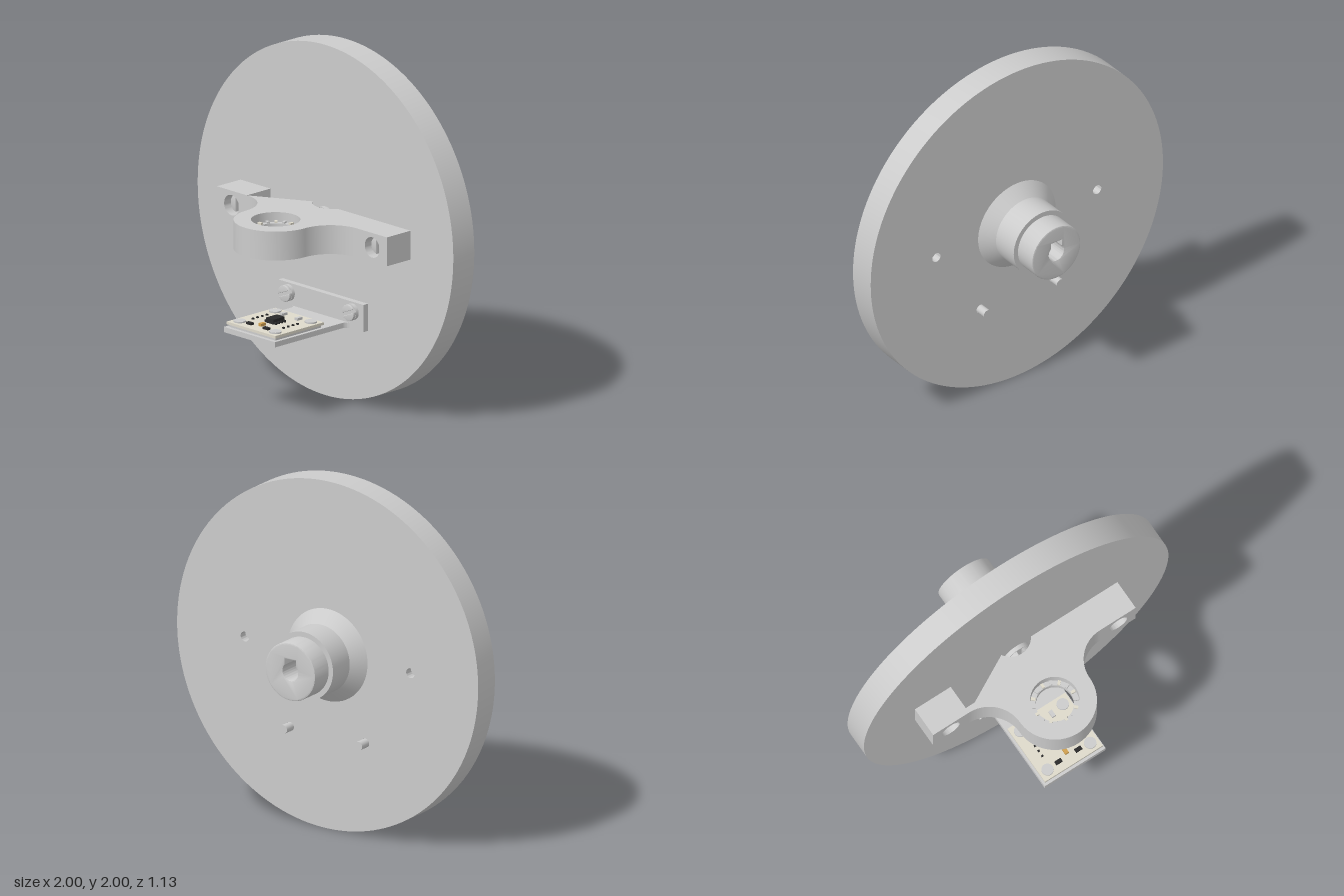
import * as THREE from 'three';
import { toCreasedNormals } from 'three/addons/utils/BufferGeometryUtils.js';

const grey = new THREE.MeshStandardMaterial({ color: 0xcccccc });
const cream = new THREE.MeshStandardMaterial({ color: 0xdedacb });
const black = new THREE.MeshStandardMaterial({ color: 0x2a2a2a });
const gold = new THREE.MeshStandardMaterial({ color: 0xd0a050 });

export function createModel() {
  const model = new THREE.Group();
  model.name = 'discAssembly';

  function add(parent, name, geo, mat = grey, x = 0, y = 0, z = 0) {
    const mesh = new THREE.Mesh(geo, mat);
    mesh.name = name;
    mesh.position.set(x, y, z);
    parent.add(mesh);
    return mesh;
  }
  const box = (w, h, d) => new THREE.BoxGeometry(w, h, d);
  const circle = (x, y, r) => new THREE.Path().absarc(x, y, r, 0, Math.PI * 2, false);
  const discShape = (r) => new THREE.Shape().absarc(0, 0, r, 0, Math.PI * 2, false);
  const rect = (x0, y0, x1, y1) => new THREE.Shape([
    new THREE.Vector2(x0, y0), new THREE.Vector2(x1, y0),
    new THREE.Vector2(x1, y1), new THREE.Vector2(x0, y1)]);
  // Extrusion along z with smooth curves and sharp edges
  function extrude(shape, depth, segments = 24, bevel = 0) {
    return toCreasedNormals(new THREE.ExtrudeGeometry(shape, {
      depth: depth - 2 * bevel, curveSegments: segments, bevelEnabled: bevel > 0,
      bevelThickness: bevel, bevelSize: bevel, bevelOffset: -bevel, bevelSegments: 2,
    }).translate(0, 0, bevel), 0.5);
  }
  // Flat extrusion: shape (x, z), between heights y0 and y1
  const slab = (shape, y0, y1, segments) =>
    extrude(shape, y1 - y0, segments).rotateX(Math.PI / 2).translate(0, y1, 0);
  const rod = (r, z0, z1) => new THREE.CylinderGeometry(r, r, z1 - z0, 24)
    .rotateX(Math.PI / 2).translate(0, 0, (z0 + z1) / 2);

  // Slotted screw along z, head facing +z
  function screw(name, x, y, front, r, thickness, tip, shaftR, angle) {
    const g = new THREE.Group();
    g.name = name;
    g.position.set(x, y, 0);
    g.rotation.z = angle;
    const slot = thickness * 0.5, a = Math.asin(0.2);
    add(g, 'headBase', rod(r, front - thickness, front - slot));
    const half = new THREE.Shape().absarc(0, 0, r, a, Math.PI - a, false);
    const geo = extrude(half, slot, 20, 0.004);
    for (const s of [0, Math.PI])
      add(g, 'headHalf', geo, grey, 0, 0, front - slot).rotation.z = s;
    add(g, 'shaft', rod(shaftR, tip, front - thickness));
    model.add(g);
  }

  // Large disc with four screw holes
  const face = discShape(1);
  for (const s of [-1, 1])
    face.holes.push(circle(s * 0.55, 0, 0.028), circle(s * 0.25, -0.46, 0.026));
  add(model, 'disc', extrude(face, 0.16, 72), grey, 0, 1, -0.205);

  // Stepped hub on the back
  const profile = [[0.265, 0.205], [0.195, 0.275], [0.195, 0.435], [0.15, 0.435]]
    .map(([r, h]) => new THREE.Vector2(r, h));
  add(model, 'hub', toCreasedNormals(
    new THREE.LatheGeometry(profile, 64).rotateX(-Math.PI / 2), 0.5), grey, 0, 1, 0);
  // Hub end with a keyed bore
  const end = discShape(0.166);
  const k = Math.acos(0.035 / 0.05);
  const bore = new THREE.Path().moveTo(0.035, 0.07);
  bore.lineTo(-0.035, 0.07);
  bore.absarc(0, 0, 0.05, Math.PI - k, Math.PI * 2 + k, false);
  bore.closePath();
  end.holes.push(bore);
  add(model, 'hubEnd', extrude(end, 0.36, 40, 0.008), grey, 0, 1, -0.565);

  // Arm: centre with rounded nose, ring hole and rear notch
  const arm = new THREE.Shape().moveTo(-0.43, -0.045);
  arm.absarc(0, -0.103, 0.113, Math.PI - 0.539, 0.539, true);
  arm.lineTo(0.43, -0.045);
  arm.lineTo(0.43, 0.135);
  arm.absarc(0.43, 0.335, 0.2, -Math.PI / 2, -Math.PI, true);
  arm.absarc(0, 0.335, 0.23, 0, Math.PI, false);
  arm.absarc(-0.43, 0.335, 0.2, 0, -Math.PI / 2, true);
  arm.closePath();
  arm.holes.push(circle(0, 0.335, 0.135));
  add(model, 'armCentre', slab(arm, 0.92, 1.085, 32));

  // Arm ends with counterbored screws
  for (const s of [-1, 1]) {
    const block = rect(-0.1175, -0.0825, 0.1175, 0.0825);
    block.holes.push(circle(0.0025 * s, 0, 0.058));
    add(model, 'armEnd', extrude(block, 0.18), grey, s * 0.5475, 1.0025, -0.045);
    add(model, 'counterboreFloor', rod(0.058, -0.04, 0.04), grey, s * 0.55, 1.0025, 0);
    screw('armScrew', s * 0.55, 1.0025, 0.095, 0.05, 0.05, -0.16, 0.027, Math.PI / 2);
    screw('bracketScrew', s * 0.25, 0.54, 0.03, 0.046, 0.04, -0.27, 0.025, 0.4);
  }
  screw('centreScrew', 0, 1, 0.005, 0.078, 0.05, -0.2, 0.05, Math.PI / 2);

  // Ring of small parts inside the arm hole
  const ring = discShape(0.136);
  ring.holes.push(circle(0, 0, 0.105));
  add(model, 'innerRing', slab(ring, 1.0, 1.03, 32), grey, 0, 0, 0.335);
  for (let i = 0; i < 16; i++) {
    const a = (i / 16) * Math.PI * 2;
    add(model, 'ringPart', box(0.016, 0.012, 0.026), i % 2 ? grey : cream,
      Math.sin(a) * 0.12, 1.035, 0.335 + Math.cos(a) * 0.12).rotation.y = a;
  }

  // Bracket: upright plate and flared tray
  const plate = rect(-0.333, -0.0775, 0.333, 0.0775);
  for (const s of [-1, 1]) plate.holes.push(circle(s * 0.25, 0.0225, 0.025));
  add(model, 'bracketPlate', extrude(plate, 0.035), grey, 0, 0.5175, -0.045);
  const tray = new THREE.Shape().moveTo(-0.235, -0.01);
  tray.lineTo(0.235, -0.01);
  tray.quadraticCurveTo(0.2, -0.01, 0.2, 0.03);
  tray.lineTo(0.2, 0.535);
  tray.lineTo(-0.2, 0.535);
  tray.lineTo(-0.2, 0.03);
  tray.quadraticCurveTo(-0.2, -0.01, -0.235, -0.01);
  add(model, 'tray', slab(tray, 0.44, 0.47, 8));

  // Circuit board, centred on its own group
  const board = new THREE.Group();
  board.name = 'circuitBoard';
  board.position.set(0, 0.47, 0.338);
  model.add(board);
  add(board, 'boardBase', box(0.36, 0.015, 0.35), grey, 0, 0.0075, 0);
  add(board, 'boardTop', box(0.38, 0.015, 0.37), cream, 0, 0.0225, 0);
  for (const sx of [-1, 1]) {
    for (const sz of [-1, 1])
      add(board, 'cornerPad', new THREE.CylinderGeometry(0.034, 0.034, 0.008, 24), grey,
        sx * 0.14, 0.034, sz * 0.135);
    for (let i = 0; i < 4; i++) {
      const z = (i - 1.5) * 0.022;
      add(board, 'chipPin', box(0.016, 0.012, 0.01), black, sx * 0.037, 0.036, z);
      add(board, 'smallPart', box(0.012, 0.008, 0.01), black, sx * 0.12, 0.034, z * 1.6);
    }
    add(board, 'capacitor', box(0.022, 0.015, 0.04), grey, sx * 0.06, 0.037, -0.12);
    add(board, 'resistor', box(0.04, 0.012, 0.022), black, sx * 0.065, 0.036, 0.13);
  }
  add(board, 'chip', box(0.06, 0.028, 0.085), black, 0, 0.044, 0);
  add(board, 'goldPart', box(0.022, 0.016, 0.036), gold, 0, 0.038, 0.1);

  return model;
}
